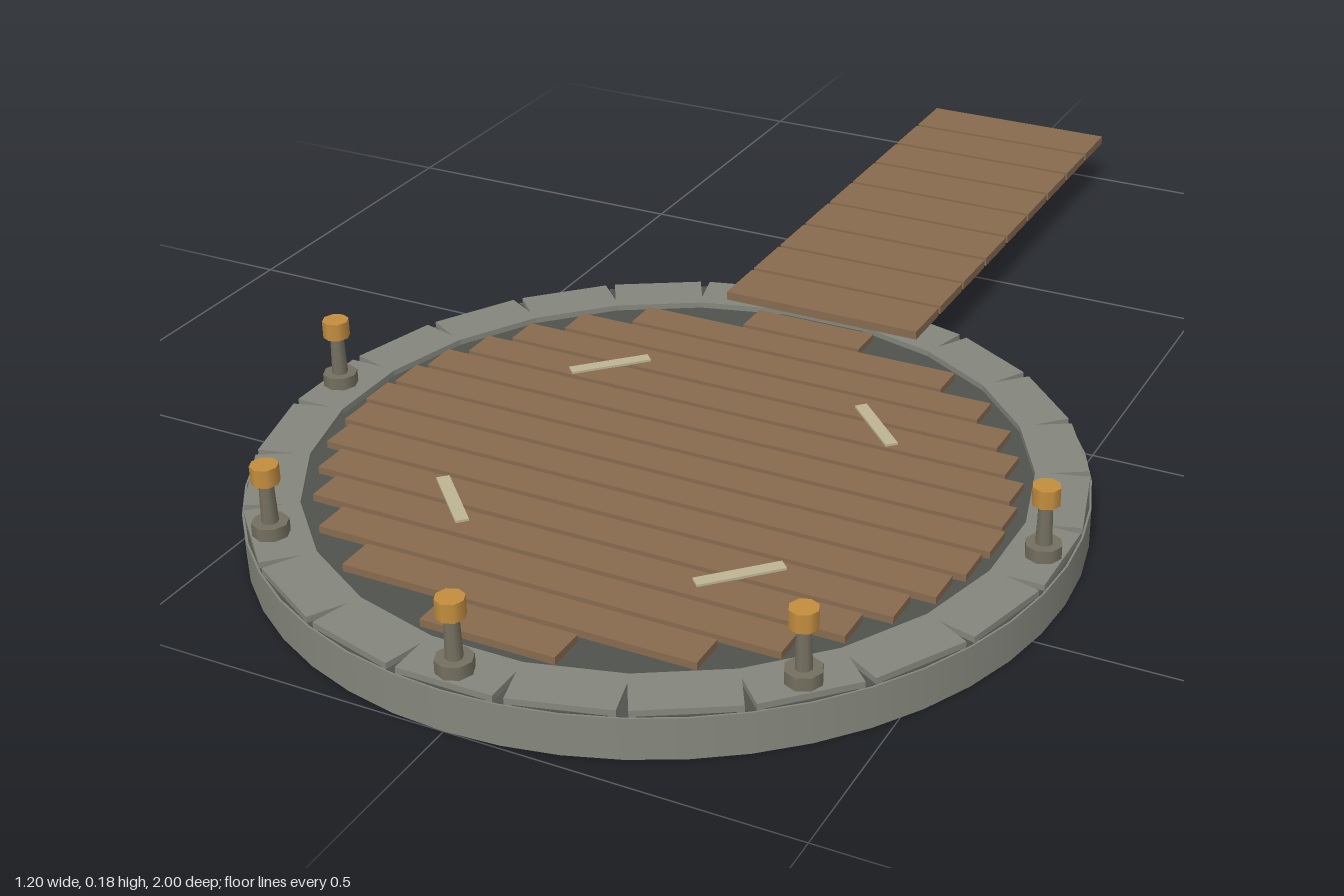
import * as THREE from 'three';

const mat = (name, color) => new THREE.MeshStandardMaterial({ name, color });

export function createModel() {
  const stone = mat('stone', 0x85877d);
  const bed = mat('dark bed', 0x50534d);
  const wood = mat('wood', 0x886b4f);
  const metal = mat('post metal', 0x747060);
  const amber = mat('amber lamp', 0xc48e3e);
  const pale = mat('pale marking', 0xbdb593);

  const model = new THREE.Group();
  model.name = 'roundPlatform';

  // Everything round sits on this centre
  const platform = new THREE.Group();
  platform.name = 'platform';
  platform.position.z = 0.4;
  model.add(platform);

  const add = (parent, name, geometry, material, x, y, z, turn = 0) => {
    const mesh = new THREE.Mesh(geometry, material);
    mesh.name = name;
    mesh.position.set(x, y, z);
    mesh.rotation.y = turn;
    parent.add(mesh);
    return mesh;
  };

  // Stone drum with a dark bed on top
  add(platform, 'drum', new THREE.CylinderGeometry(0.6, 0.6, 0.061, 48), stone, 0, 0.0305, 0);
  add(platform, 'bed', new THREE.CylinderGeometry(0.597, 0.597, 0.002, 48), bed, 0, 0.061, 0);

  // Ring of straight blocks, leaving wedge-shaped joints
  const block = new THREE.BoxGeometry(0.141, 0.015, 0.078);
  for (let i = 0; i < 24; i++) {
    const a = (i / 24) * Math.PI * 2;
    add(platform, 'rimBlock', block, stone, Math.sin(a) * 0.554, 0.0635, Math.cos(a) * 0.554, a);
  }

  // Deck boards, shorter towards front and back
  const halfWidths = [0.5, 0.492, 0.477, 0.445, 0.407, 0.35, 0.265, 0.1];
  for (let i = -7; i <= 7; i++) {
    const width = halfWidths[Math.abs(i)] * 2;
    add(platform, 'deckBoard', new THREE.BoxGeometry(width, 0.012, 0.057), wood, 0, 0.067, i * 0.0663);
  }

  // Four pale diagonal markings on the deck
  const marking = new THREE.BoxGeometry(0.125, 0.004, 0.019);
  for (const sx of [-1, 1]) {
    for (const sz of [-1, 1]) {
      add(platform, 'deckMarking', marking, pale, sx * 0.223, 0.0745, sz * 0.223, sx * sz * Math.PI / 4);
    }
  }

  // Lamp posts around the front half of the rim
  const foot = new THREE.CylinderGeometry(0.026, 0.026, 0.019, 8);
  const shaft = new THREE.CylinderGeometry(0.01, 0.012, 0.066, 8);
  const lamp = new THREE.CylinderGeometry(0.02, 0.02, 0.027, 8);
  for (let i = -2; i <= 2; i++) {
    const a = i * Math.PI / 4;
    const post = new THREE.Group();
    post.name = 'lampPost';
    post.position.set(Math.sin(a) * 0.565, 0, Math.cos(a) * 0.565);
    add(post, 'foot', foot, metal, 0, 0.0805, 0);
    add(post, 'shaft', shaft, metal, 0, 0.121, 0);
    add(post, 'lamp', lamp, amber, 0, 0.1645, 0);
    platform.add(post);
  }

  // Boardwalk leading out to the back
  const walkBoard = new THREE.BoxGeometry(0.333, 0.014, 0.092);
  for (let i = 0; i < 9; i++) {
    add(model, 'walkBoard', walkBoard, wood, 0, 0.078, -0.954 + i * 0.1);
  }

  return model;
}
